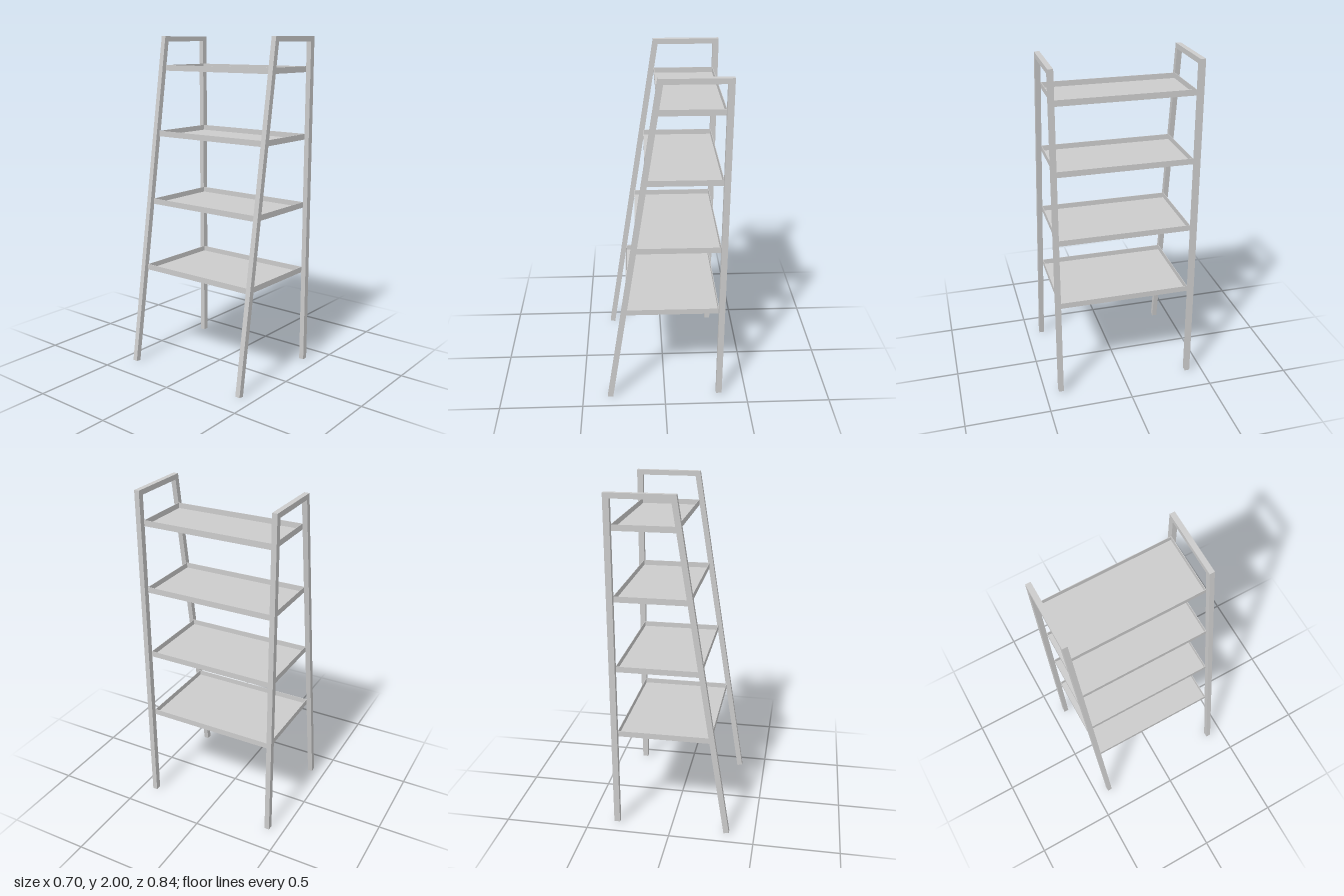
import * as THREE from 'three';

const material = new THREE.MeshStandardMaterial({ color: 0xcccccc, flatShading: true });

function addMesh(parent, name, geometry, x = 0, y = 0, z = 0) {
  const mesh = new THREE.Mesh(geometry, material);
  mesh.name = name;
  mesh.position.set(x, y, z);
  parent.add(mesh);
  return mesh;
}

// One bent bar: upright leg, top rail and slanted leg in a single outline
function sideFrameGeometry(depth) {
  const outline = [
    [-0.35, 0.005], [-0.318, 0], [-0.012, 1.97], [0.315, 1.97],
    [0.315, 0.01], [0.35, 0.01], [0.35, 2], [-0.04, 2],
  ].map(([x, y]) => new THREE.Vector2(x, y));
  return new THREE.ExtrudeGeometry(new THREE.Shape(outline), { depth, bevelEnabled: false });
}

// Shallow tray: thin floor with a thin upright rim around it
function createTray(left, right, bottom, height, halfWidth) {
  const tray = new THREE.Group();
  const t = 0.003;
  const width = right - left;
  const middle = (left + right) / 2;
  addMesh(tray, 'trayFloor', new THREE.BoxGeometry(width, t, halfWidth * 2), middle, bottom + t / 2, 0);
  const rimHeight = height - t;
  const rimY = bottom + t + rimHeight / 2;
  for (const side of [-1, 1]) {
    addMesh(tray, 'trayEndRim', new THREE.BoxGeometry(width, rimHeight, t),
      middle, rimY, side * (halfWidth - t / 2));
    addMesh(tray, 'trayLongRim', new THREE.BoxGeometry(t, rimHeight, halfWidth * 2 - 2 * t),
      middle + side * (width - t) / 2, rimY, 0);
  }
  return tray;
}

export function createModel() {
  const model = new THREE.Group();
  model.name = 'ladderShelf';

  // Front and back frames
  const depth = 0.03;
  const frame = sideFrameGeometry(depth);
  addMesh(model, 'frontFrame', frame, 0, 0, 0.39);
  addMesh(model, 'backFrame', frame, 0, 0, -0.42);

  // Trays, deeper towards the ground: [left edge, bottom height]
  const trays = [[-0.23, 0.578], [-0.167, 0.986], [-0.105, 1.4], [-0.037, 1.795]];
  trays.forEach(([left, bottom], i) => {
    const tray = createTray(left, 0.318, bottom, 0.034, 0.39);
    tray.name = `shelfTray${i + 1}`;
    model.add(tray);
  });

  return model;
}
